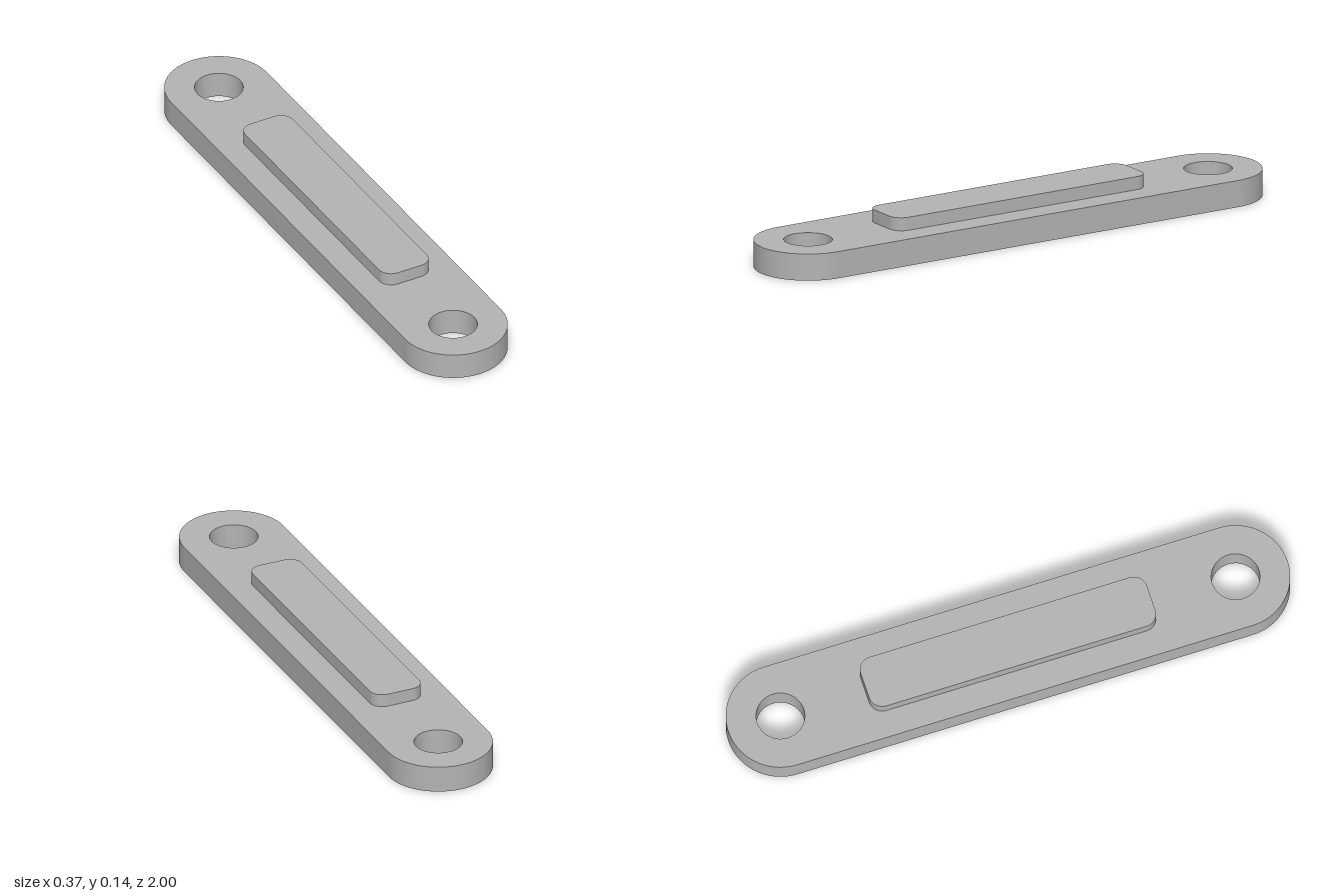
import * as THREE from 'three';
import { toCreasedNormals } from 'three/addons/utils/BufferGeometryUtils.js';

// Rounded rectangle centred on the origin
function roundedRect(halfW, halfL, r) {
  const s = new THREE.Shape();
  const x = halfW - r, y = halfL - r;
  s.absarc(x, y, r, 0, Math.PI / 2);
  s.absarc(-x, y, r, Math.PI / 2, Math.PI);
  s.absarc(-x, -y, r, Math.PI, Math.PI * 1.5);
  s.absarc(x, -y, r, Math.PI * 1.5, Math.PI * 2);
  return s;
}

// Flat plate lying on the ground plane, raised to y = bottom
function plate(name, shape, bottom, top, material) {
  const extruded = new THREE.ExtrudeGeometry(shape, {
    depth: top - bottom, bevelEnabled: false, curveSegments: 24,
  });
  extruded.rotateX(-Math.PI / 2).translate(0, bottom, 0);
  const mesh = new THREE.Mesh(toCreasedNormals(extruded, 0.6), material);
  mesh.name = name;
  return mesh;
}

export function createModel() {
  const grey = new THREE.MeshStandardMaterial({ color: 0xb4b4b4 });
  grey.name = 'grey metal';

  const halfWidth = 0.186, thickness = 0.094;
  const group = new THREE.Group();
  group.name = 'linkBar';

  // Bar with fully round ends and a pin hole at each end
  const barShape = roundedRect(halfWidth, 1, halfWidth);
  for (const side of [-1, 1]) {
    const hole = new THREE.Path();
    hole.absarc(0, side * (1 - halfWidth), 0.083, 0, Math.PI * 2, true);
    barShape.holes.push(hole);
  }
  group.add(plate('bar', barShape, 0, thickness, grey));

  // Raised pad along the middle
  group.add(plate('raisedPad', roundedRect(0.093, 0.512, 0.047), thickness, 0.14, grey));

  return group;
}
